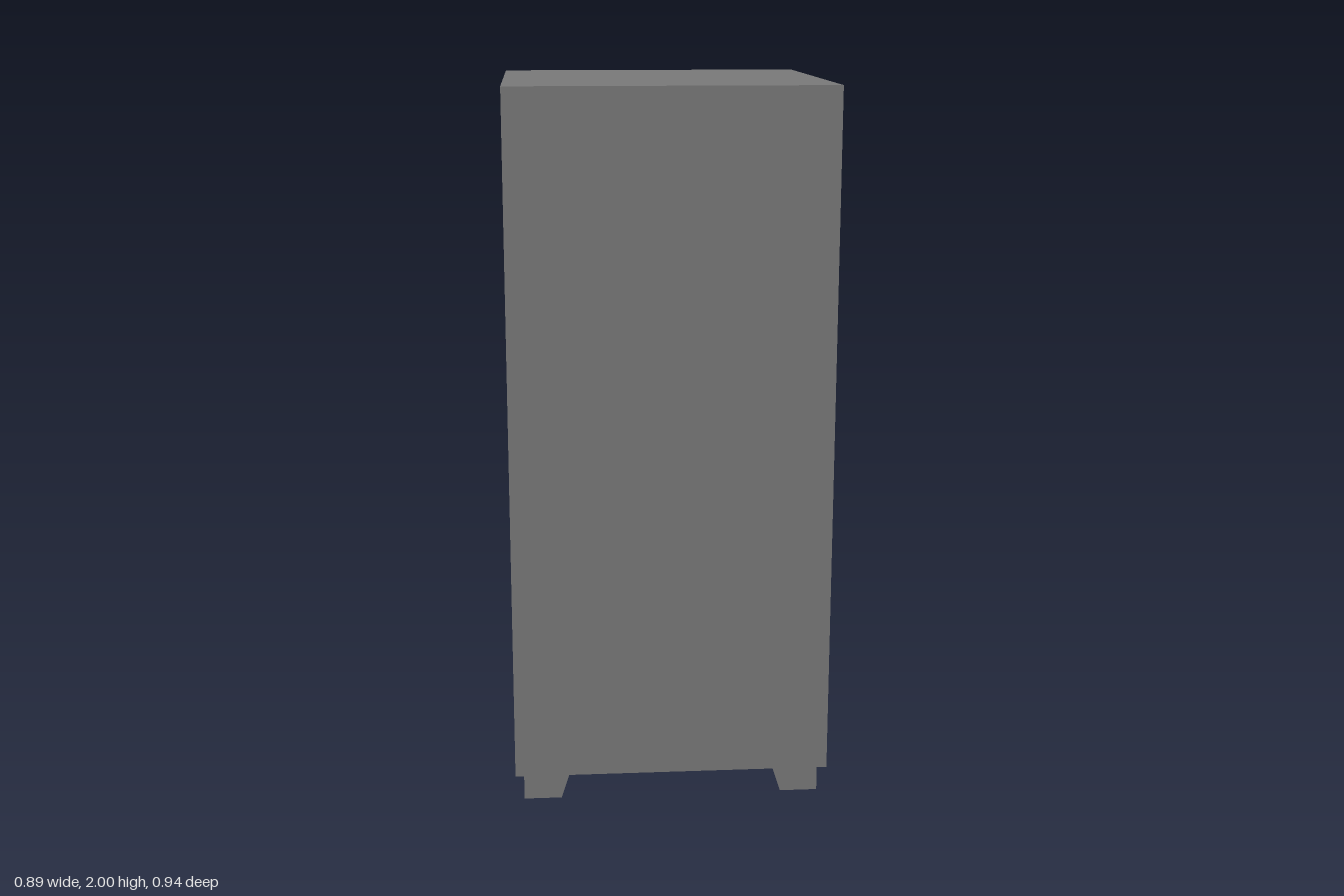
import * as THREE from 'three';

const material = new THREE.MeshStandardMaterial({ color: 0x787878, side: THREE.DoubleSide, flatShading: true });

// Thin-walled box with one face left out (0 = +x, 2 = +y)
function openBox(w, h, d, face) {
  const g = new THREE.BoxGeometry(w, h, d);
  const index = Array.from(g.index.array);
  index.splice(face * 6, 6);
  g.setIndex(index);
  g.clearGroups();
  return g;
}

function addMesh(parent, name, geometry) {
  const mesh = new THREE.Mesh(geometry, material);
  mesh.name = name;
  parent.add(mesh);
  return mesh;
}

export function createModel() {
  const group = new THREE.Group();
  group.name = 'cabinet';
  const W = 0.888, D = 0.942, BOTTOM = 0.08, TOP = 2;

  // Hollow sheet carcass, open on the +x side
  addMesh(group, 'carcass', openBox(W, TOP - BOTTOM, D, 0).translate(0, (TOP + BOTTOM) / 2, 0));

  // Face sheet with three rectangular openings, turned to face +x
  const rect = (P, x0, x1, y0, y1) => {
    const p = new P();
    p.moveTo(x0, y0);
    p.lineTo(x1, y0);
    p.lineTo(x1, y1);
    p.lineTo(x0, y1);
    p.closePath();
    return p;
  };
  const sheet = rect(THREE.Shape, -D / 2, D / 2, BOTTOM, TOP);
  for (let i = 0; i < 3; i++) {
    const y = 0.122 + i * 0.639;
    sheet.holes.push(rect(THREE.Path, -0.373, 0.367, y, y + 0.554));
  }
  const face = addMesh(group, 'openingFrame', new THREE.ShapeGeometry(sheet));
  face.rotation.y = Math.PI / 2;
  face.position.x = W / 2;

  // Hollow feet, upright outside and flared inward, reaching through the floor
  const foot = openBox(1, 1, 1, 2);
  const p = foot.attributes.position;
  for (let i = 0; i < p.count; i++) {
    const up = p.getY(i) > 0;
    const x = p.getX(i) > 0 ? 0.42 : up ? 0.263 : 0.314;
    const z = p.getZ(i) > 0 ? 0.445 : up ? 0.265 : 0.319;
    p.setXYZ(i, x, up ? 0.16 : 0, z);
  }
  foot.computeVertexNormals();
  for (const sx of [1, -1]) {
    for (const sz of [1, -1]) {
      const name = (sz > 0 ? 'front' : 'back') + (sx > 0 ? 'Left' : 'Right') + 'Foot';
      const mesh = addMesh(group, name, foot);
      mesh.scale.set(sx, 1, sz);
      mesh.position.z = 0.003;
    }
  }
  return group;
}
